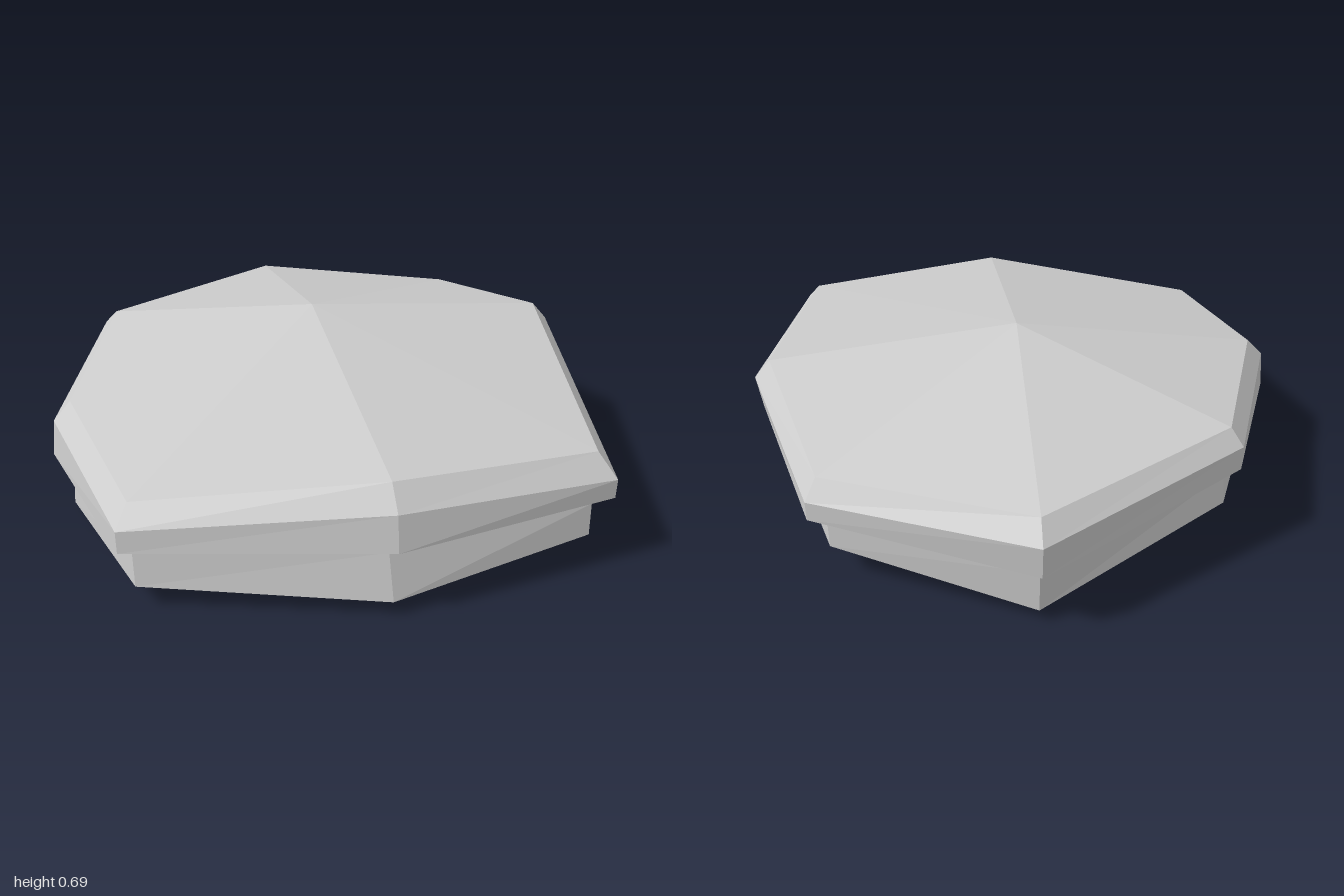
import * as THREE from 'three';

// Eight-cornered cross-sections [x, y, z], from the back corner round by the left side
const capEdge = [
  [0.02, 0.475, -0.93], [0.75, 0.46, -0.63], [0.94, 0.585, -0.06], [0.82, 0.44, 0.81],
  [0.05, 0.5, 0.9], [-0.78, 0.41, 0.68], [-0.92, 0.48, 0.1], [-0.69, 0.51, -0.54],
];
const rimTop = [
  [0.02, 0.4, -1], [0.79, 0.385, -0.67], [1, 0.515, -0.06], [0.87, 0.36, 0.88],
  [0.05, 0.42, 0.975], [-0.83, 0.34, 0.74], [-0.985, 0.41, 0.11], [-0.73, 0.45, -0.58],
];
const rimBottom = [
  [0.02, 0.27, -0.99], [0.79, 0.31, -0.67], [0.985, 0.37, -0.04], [0.87, 0.285, 0.88],
  [0.05, 0.285, 1], [-0.83, 0.26, 0.75], [-1, 0.27, 0.11], [-0.73, 0.355, -0.58],
];
const neck = [
  [0.02, 0.23, -0.92], [0.73, 0.26, -0.61], [0.92, 0.32, -0.03], [0.81, 0.24, 0.835],
  [0.04, 0.24, 0.93], [-0.78, 0.22, 0.7], [-0.93, 0.23, 0.1], [-0.68, 0.31, -0.54],
];
const baseEdge = [
  [0.02, 0.055, -0.91], [0.73, 0.14, -0.61], [0.905, 0.13, -0.02], [0.81, 0.113, 0.845],
  [0.05, 0.06, 0.97], [-0.78, 0.09, 0.72], [-0.945, 0.037, 0.1], [-0.69, 0.185, -0.55],
];
const peak = [0.02, 0.69, -0.05];
const foot = [-0.12, 0, 0.02];

// Wall between an upper and a lower cross-section
function band(upper, lower) {
  return upper.flatMap((u, i) => {
    const j = (i + 1) % upper.length;
    return [u, upper[j], lower[j], u, lower[j], lower[i]];
  });
}

// Triangles from one point to every side of a cross-section
function fan(centre, ring, facesUp) {
  return ring.flatMap((p, i) => {
    const q = ring[(i + 1) % ring.length];
    return facesUp ? [centre, q, p] : [centre, p, q];
  });
}

function part(name, corners, material) {
  const geometry = new THREE.BufferGeometry();
  geometry.setAttribute('position', new THREE.Float32BufferAttribute(corners.flat(), 3));
  geometry.computeVertexNormals();
  const mesh = new THREE.Mesh(geometry, material);
  mesh.name = name;
  return mesh;
}

export function createModel() {
  const stone = new THREE.MeshStandardMaterial({ color: 0xcccccc });
  stone.name = 'pale grey stone';

  const slab = new THREE.Group();
  slab.name = 'facetedStone';
  slab.add(
    // Low peaked top
    part('cap', fan(peak, capEdge, true), stone),
    // Chamfer, upright lip and its underside
    part('rim', [...band(capEdge, rimTop), ...band(rimTop, rimBottom), ...band(rimBottom, neck)], stone),
    // Recessed wall and shallow pointed underside
    part('base', [...band(neck, baseEdge), ...fan(foot, baseEdge, false)], stone),
  );
  return slab;
}
